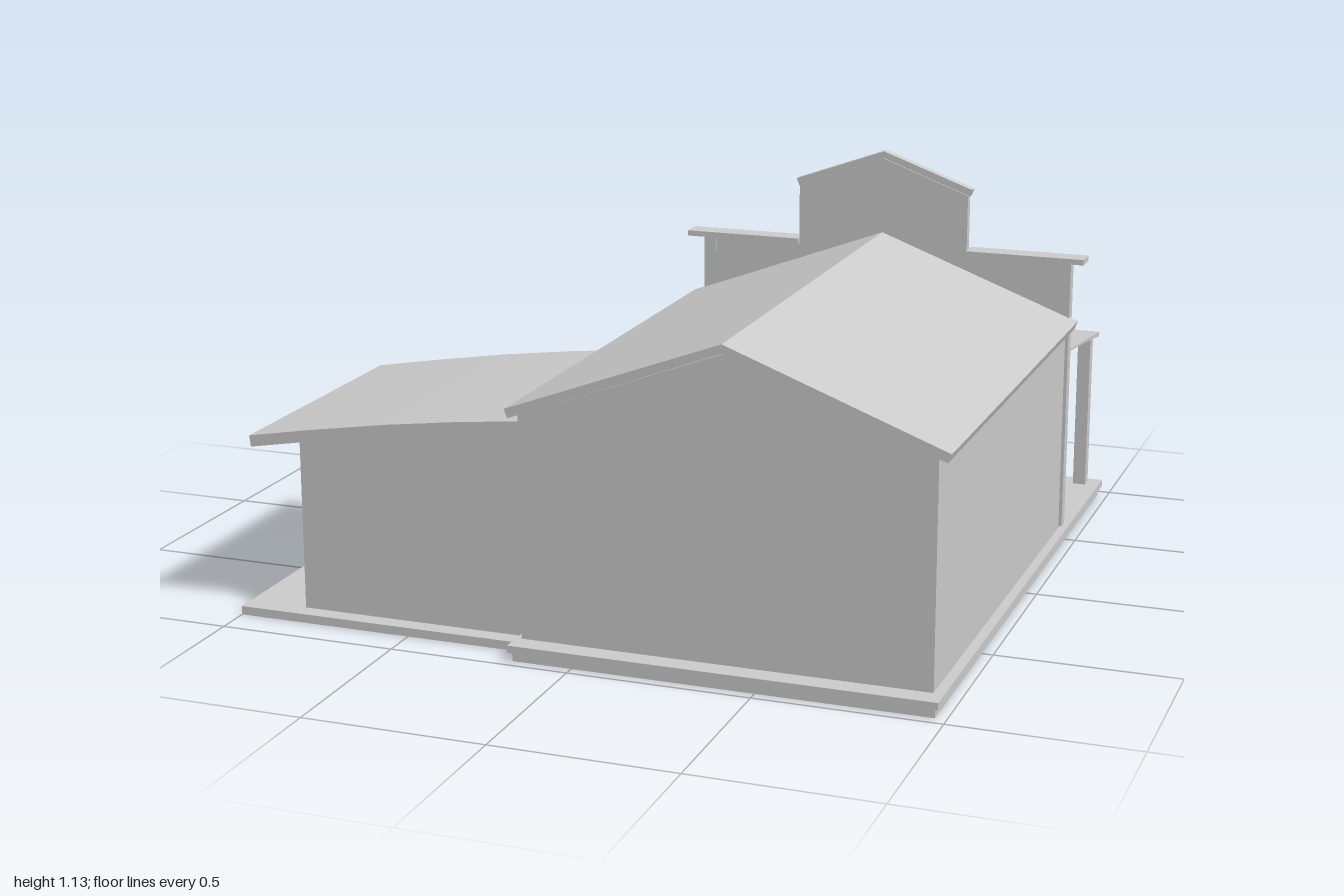
import * as THREE from 'three';

const material = new THREE.MeshStandardMaterial({ color: 0xcccccc, flatShading: true, side: THREE.DoubleSide });
const CX = 0.396; // centre line of the main hall
const BASE = 0.035; // underside of the main walls, set into the floor
const SIDE_BASE = 0.022; // underside of the side wing walls

export function createModel() {
  const root = new THREE.Group();
  root.name = 'building';

  const add = (name, geometry) => {
    const mesh = new THREE.Mesh(geometry, material);
    mesh.name = name;
    root.add(mesh);
  };
  // Box given by its extents
  const box = (name, x0, x1, y0, y1, z0, z1) =>
    add(name, new THREE.BoxGeometry(x1 - x0, y1 - y0, z1 - z0)
      .translate((x0 + x1) / 2, (y0 + y1) / 2, (z0 + z1) / 2));
  const outline = (pts) => pts.map(([x, y]) => new THREE.Vector2(x, y));
  const rect = (x0, x1, y0, y1) => [[x0, y0], [x1, y0], [x1, y1], [x0, y1]];
  const extrude = (pts, depth, holes = []) => {
    const shape = new THREE.Shape(outline(pts));
    holes.forEach((h) => shape.holes.push(new THREE.Path(outline(h))));
    return new THREE.ExtrudeGeometry(shape, { depth, bevelEnabled: false });
  };
  // Profile in (x, y) pulled along z
  const alongZ = (name, pts, z0, z1, holes) =>
    add(name, extrude(pts, z1 - z0, holes).translate(0, 0, z0));
  // Profile in (z, y) pulled along x
  const alongX = (name, pts, x0, x1) =>
    add(name, extrude(pts, x1 - x0).rotateY(-Math.PI / 2).translate(x1, 0, 0));
  // Plan in (x, z) pulled along y
  const alongY = (name, pts, y0, y1, holes) =>
    add(name, extrude(pts, y1 - y0, holes).rotateX(Math.PI / 2).translate(0, y1, 0));
  // Symmetric outline from its right half, as offsets from the centre line
  const mirrored = (half) => [
    ...half.map(([x, y]) => [CX + x, y]),
    ...half.filter(([x]) => x > 0).reverse().map(([x, y]) => [CX - x, y]),
  ];
  // Pitched strip with square-cut ends
  const pitched = (w, eave, peak, t) => [
    [CX - w, eave], [CX, peak], [CX + w, eave],
    [CX + w - t * 0.4, eave - t], [CX, peak - t], [CX - w + t * 0.4, eave - t],
  ];

  // Floors, cut out where the walls and posts are let in
  const posts = [-0.113, 0.219, 0.589, 0.921].map((x) => rect(x - 0.019, x + 0.019, -0.951, -0.913));
  const hallPlan = mirrored([
    [0.12, -0.46], [0.12, -0.511], [0.527, -0.511], [0.527, -0.52], [0.56, -0.52], [0.556, 0.92],
  ]);
  alongY('mainFoundation', rect(-0.165, 0.97, -0.965, 0.97), 0, 0.025, [hallPlan, ...posts]);
  alongY('mainFloor', rect(-0.175, 0.98, -0.98, 0.98), 0.025, 0.045, [hallPlan, ...posts]);
  alongY('sideFloor', rect(-1, -0.17, 0.08, 0.9), 0, 0.024, [[
    [-0.18, 0.13], [-0.83, 0.13], [-0.83, 0.57], [-0.815, 0.57],
    [-0.815, 0.78], [-0.83, 0.78], [-0.83, 0.85], [-0.18, 0.85],
  ]]);

  // Main hall and roof, with a shallow recess for the doors
  const doorway = rect(CX - 0.12, CX + 0.12, 0.045, 0.45);
  const hall = mirrored([[0.556, BASE], [0.556, 0.652], [0, 0.863]]);
  alongZ('mainWalls', hall, -0.46, 0.92);
  alongZ('mainFrontWall', hall, -0.485, -0.46, [doorway]);
  alongZ('mainRoof', pitched(0.59, 0.668, 0.89, 0.024), -0.494, 0.93);
  for (const x of [CX - 0.12, CX + 0.002]) box('doorLeaf', x, x + 0.118, 0.045, 0.45, -0.474, -0.462);

  // Stepped false front with a doorway and two windows
  const windows = [[-0.055, 0.13], [0.66, 0.85]];
  alongZ('falseFront', mirrored([
    [0.545, BASE], [0.545, 0.84], [0.256, 0.84], [0.256, 1.015], [0, 1.11],
  ]), -0.511, -0.485, [...windows.map(([a, b]) => rect(a, b, 0.205, 0.46)), doorway]);
  windows.forEach(([a, b]) => {
    alongZ('windowFrame', rect(a - 0.01, b + 0.01, 0.195, 0.47), -0.516, -0.505, [rect(a, b, 0.205, 0.46)]);
    box('windowPane', a, b, 0.205, 0.46, -0.498, -0.484);
  });

  // Corner pilasters and cornices
  for (const s of [-1, 1]) {
    const x = 0.401 + s * 0.542;
    box('pilaster', x - 0.0185, x + 0.0185, BASE, 0.842, -0.52, -0.484);
    const c = 0.397 + s * 0.43;
    box('cornice', c - 0.174, c + 0.174, 0.839, 0.855, -0.535, -0.47);
  }
  alongZ('gableCap', pitched(0.267, 1.033, 1.13, 0.022), -0.518, -0.489);

  // Porch roof and posts
  alongX('porchRoof', [
    [-0.508, 0.573], [-0.98, 0.519], [-0.979, 0.505], [-0.75, 0.538], [-0.508, 0.566],
  ], -0.14, 0.953);
  posts.forEach((plan) => alongY('porchPost', plan, BASE, 0.512));

  // Side wing with a doorway in its end wall
  alongZ('sideWalls', [
    [-0.815, SIDE_BASE], [-0.15, SIDE_BASE], [-0.15, 0.61], [-0.56, 0.56], [-0.815, 0.51],
  ], 0.13, 0.85);
  alongX('sideEndWall', [
    [0.13, SIDE_BASE], [0.57, SIDE_BASE], [0.57, 0.42], [0.78, 0.42],
    [0.78, SIDE_BASE], [0.85, SIDE_BASE], [0.85, 0.508], [0.13, 0.508],
  ], -0.83, -0.812);

  // Gently bent lean-to roof
  alongZ('sideRoof', [
    [-0.963, 0.508], [-0.78, 0.541], [-0.56, 0.577], [-0.36, 0.604], [-0.155, 0.627],
    [-0.155, 0.604], [-0.36, 0.576], [-0.56, 0.547], [-0.78, 0.509], [-0.959, 0.477],
  ], 0.102, 0.884);

  return root;
}
